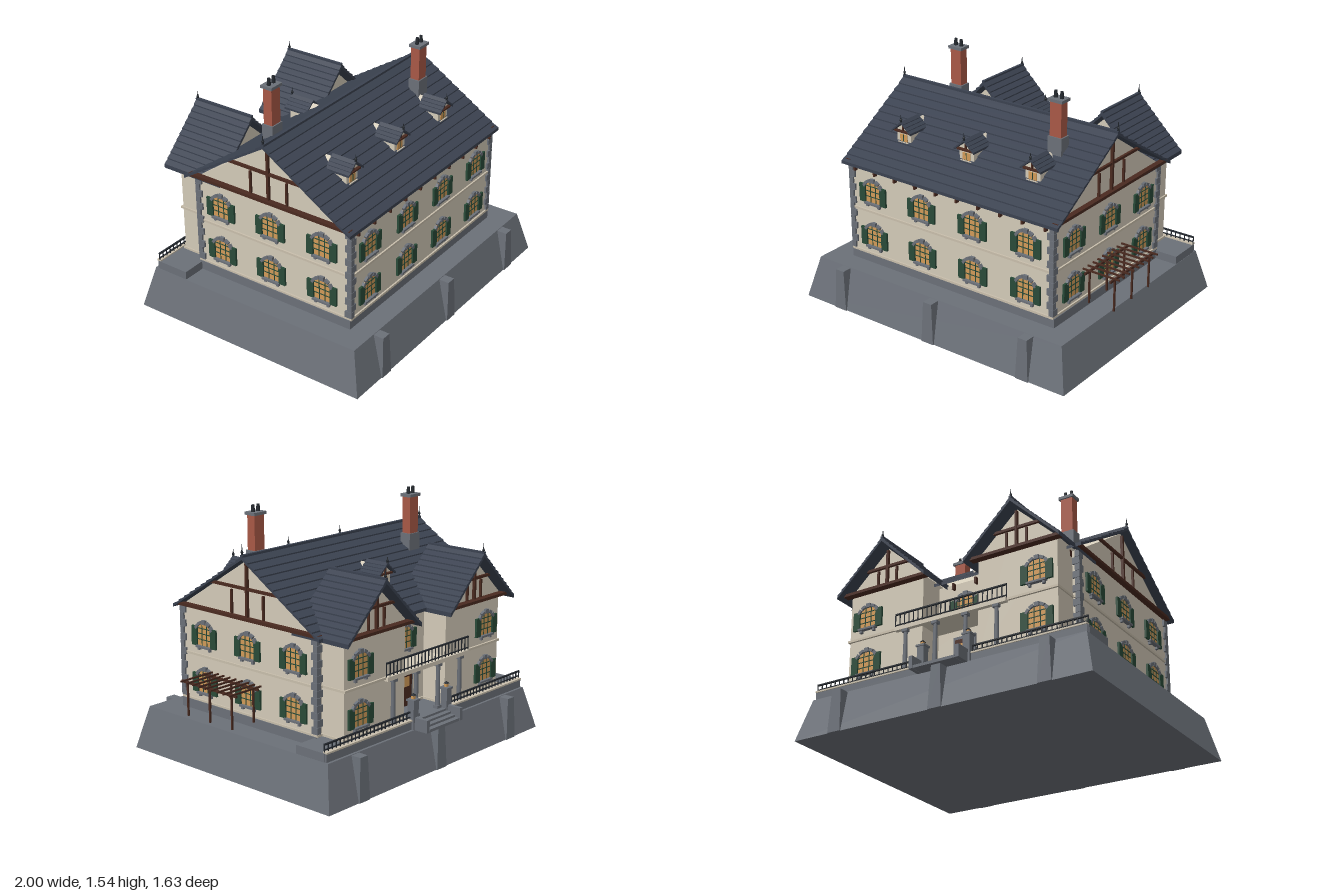
import * as THREE from 'three';

const mat = (name, color) => Object.assign(new THREE.MeshStandardMaterial({ color }), { name });
const M = {
  wall: mat('cream plaster', 0xd3cab8), trim: mat('pale trim', 0xc9bfac), stone: mat('grey stone', 0x6b7078),
  slate: mat('slate', 0x3b4250), timber: mat('dark timber', 0x4a2a20), green: mat('green shutter', 0x294a38),
  glass: mat('warm glass', 0xd19a58), brick: mat('red brick', 0xa85846), iron: mat('black iron', 0x23282e),
};

function add(parent, name, geo, material, x = 0, y = 0, z = 0) {
  const m = new THREE.Mesh(geo, material);
  m.name = name;
  m.position.set(x, y, z);
  parent.add(m);
  return m;
}
// Box standing on height y
const box = (p, name, m, w, h, d, x, y, z) => add(p, name, new THREE.BoxGeometry(w, h, d), m, x, y + h / 2, z);

function group(parent, name, x, y, z, ry = 0) {
  const g = new THREE.Group();
  g.name = name;
  g.position.set(x, y, z);
  g.rotation.y = ry;
  parent.add(g);
  return g;
}

const shape = (pts) => new THREE.Shape(pts.map(([x, y]) => new THREE.Vector2(x, y)));
const extrude = (s, depth) => new THREE.ExtrudeGeometry(s, { depth, bevelEnabled: false, curveSegments: 8 });

// Box whose upper face has another size and depth offset
function taper(w0, d0, w1, d1, h, shift = 0) {
  const g = new THREE.BoxGeometry(w0, h, d0).toNonIndexed();
  const p = g.attributes.position;
  for (let i = 0; i < p.count; i++) if (p.getY(i) > 0) {
    p.setX(i, Math.sign(p.getX(i)) * w1 / 2);
    p.setZ(i, Math.sign(p.getZ(i)) * d1 / 2 + shift);
  }
  g.computeVertexNormals();
  return g;
}

// Gabled roof shell with stepped slate courses, running along local z
function roofGeometry(half, eave, ridge, length, courses, t = 0.02, step = 0.008) {
  const right = [];
  for (let i = 0; i < courses; i++) {
    const at = (k, o) => [half * k / courses, ridge + (eave - ridge) * k / courses + o];
    right.push(at(i, i ? -step : 0), at(i + 1, 0));
  }
  const left = right.slice(1).reverse().map(([x, y]) => [-x, y]);
  return extrude(shape([...left, ...right, [half, eave - t], [0, ridge - t], [-half, eave - t]].reverse()), length);
}

// Pentagon-ended house body running along local z
const bodyGeometry = (l, r, mid, y0, eave, apex, length) =>
  extrude(shape([[l, y0], [r, y0], [r, eave], [mid, apex], [l, eave]]), length);

// Arched window with shutters, facing local +z, sill at local y = 0
function windowUnit(parent, x, y, z, ry = 0, shutters = true) {
  const g = group(parent, 'window', x, y, z, ry);
  const R = 0.0689, cy = 0.071, a = 1.056;
  const s = new THREE.Shape();
  s.moveTo(-0.06, 0); s.lineTo(0.06, 0); s.lineTo(0.06, 0.105);
  s.absarc(0, cy, R, Math.PI / 2 - a, Math.PI / 2 + a, false);
  add(g, 'windowGlass', extrude(s, 0.006), M.glass);
  for (const bx of [-0.02, 0.02]) box(g, 'windowBar', M.green, 0.005, 0.134, 0.004, bx, 0, 0.007);
  for (const by of [0.035, 0.07, 0.103]) box(g, 'windowBar', M.green, 0.116, 0.005, 0.004, 0, by, 0.007);
  for (let i = -2; i <= 2; i++) {
    const t = i * 0.48;
    const v = add(g, 'archStone', new THREE.BoxGeometry(0.03, i ? 0.018 : 0.026, 0.018), M.stone,
      Math.sin(t) * (R + 0.006), cy + Math.cos(t) * (R + 0.006), 0.008);
    v.rotation.z = -t;
  }
  box(g, 'windowSill', M.stone, 0.125, 0.012, 0.026, 0, -0.012, 0.012);
  for (const k of [-1, 1]) {
    box(g, 'sillBracket', M.stone, 0.016, 0.016, 0.016, k * 0.045, -0.028, 0.008);
    if (shutters) box(g, 'shutter', M.green, 0.046, 0.118, 0.014, k * 0.08, -0.004, 0.009);
  }
}

// Half-timbering on a gable, facing local +z
function gableTimbers(parent, half, base, apex, x, z, ry, out) {
  const g = group(parent, 'gableTimbers', x, base, z, ry);
  const r = apex - base;
  box(g, 'tieBeam', M.timber, half * 2, 0.018, out, 0, -0.01, out / 2);
  box(g, 'collarBeam', M.timber, half * 1.02, 0.016, 0.016, 0, r * 0.46, 0.008);
  box(g, 'kingPost', M.timber, 0.016, r - 0.035, 0.018, 0, 0, 0.009);
  for (const k of [-1, 1]) box(g, 'stud', M.timber, 0.012, r * 0.4, 0.014, k * half * 0.225, 0.01, 0.007);
}

function railing(parent, x0, x1, y, z, h) {
  const g = group(parent, 'railing', (x0 + x1) / 2, y, z);
  const w = x1 - x0, n = Math.round(w / 0.032);
  box(g, 'handRail', M.iron, w, 0.008, 0.012, 0, h - 0.008, 0);
  box(g, 'footRail', M.iron, w, 0.005, 0.008, 0, 0.01, 0);
  for (let i = 0; i <= n; i++) box(g, 'baluster', M.iron, 0.005, h, 0.005, -w / 2 + w * i / n, 0, 0);
}

function finial(parent, x, y, z, h = 0.07) {
  add(parent, 'finial', new THREE.ConeGeometry(0.007, h, 6), M.iron, x, y + h / 2, z);
  add(parent, 'finialBall', new THREE.SphereGeometry(0.009, 6, 4), M.iron, x, y + h * 0.3, z);
}

function chimney(parent, x, z, top) {
  const g = group(parent, 'chimney', x, 0, z);
  box(g, 'chimneyBase', M.stone, 0.095, 0.17, 0.075, 0, 1.08, 0);
  box(g, 'chimneyStack', M.brick, 0.078, top - 1.25, 0.06, 0, 1.25, 0);
  box(g, 'chimneyCap', M.stone, 0.1, 0.018, 0.08, 0, top, 0);
  for (const k of [-1, 1])
    add(g, 'chimneyPot', new THREE.CylinderGeometry(0.009, 0.013, 0.045, 8), M.iron, k * 0.021, top + 0.038, 0);
}

// Small gabled dormer facing local +z, its origin on the ridge line
function dormer(parent, x, ry) {
  const g = group(parent, 'dormer', x, 0, 0.035, ry);
  add(g, 'dormerBody', bodyGeometry(-0.053, 0.053, 0, 1.0, 1.115, 1.155, 0.18), M.wall, 0, 0, 0.2);
  add(g, 'dormerRoof', roofGeometry(0.073, 1.112, 1.175, 0.165, 4, 0.013, 0.004), M.slate, 0, 0, 0.245);
  box(g, 'dormerGlass', M.glass, 0.055, 0.045, 0.006, 0, 1.04, 0.382);
  box(g, 'dormerSill', M.trim, 0.08, 0.008, 0.016, 0, 1.03, 0.385);
  box(g, 'dormerBar', M.green, 0.005, 0.045, 0.008, 0, 1.04, 0.383);
  box(g, 'dormerBeam', M.timber, 0.12, 0.01, 0.02, 0, 1.1, 0.39);
  box(g, 'dormerPost', M.timber, 0.008, 0.05, 0.012, 0, 1.105, 0.388);
  finial(g, 0, 1.17, 0.405, 0.05);
}

export function createModel() {
  const root = new THREE.Group();
  root.name = 'house';
  const cx = -0.02, cz = 0.05, H = Math.PI / 2;

  // Battered plinth and buttresses
  add(root, 'plinth', taper(1.957, 1.604, 1.829, 1.47, 0.265), M.stone, -0.0215, 0.1325, 0.005);
  for (const x of [-0.715, -0.02, 0.67]) for (const k of [1, -1]) {
    const b = add(root, 'buttress', taper(0.088, 0.13, 0.062, 0.12, 0.262, -0.003), M.stone, x, 0.131, 0.005 + k * 0.744);
    if (k < 0) b.rotation.y = Math.PI;
  }

  // Main block
  box(root, 'foundation', M.stone, 1.53, 0.06, 1.11, cx, 0.262, cz);
  const body = add(root, 'mainWalls', bodyGeometry(-0.6, 0.5, -0.035, 0.3, 0.9, 1.255, 1.5), M.wall, cx - 0.75, 0, 0);
  body.rotation.y = H;
  box(root, 'baseBand', M.trim, 1.52, 0.014, 1.12, cx, 0.32, cz);
  box(root, 'floorBand', M.trim, 1.52, 0.014, 1.12, cx, 0.605, cz);
  const roof = add(root, 'mainRoof', roofGeometry(0.595, 0.908, 1.282, 1.6, 12), M.slate, -0.822, 0, 0.035);
  roof.rotation.y = H;
  box(root, 'ridgeCap', M.slate, 1.6, 0.014, 0.02, -0.022, 1.276, 0.035);
  finial(root, -0.815, 1.285, 0.035);
  finial(root, 0.772, 1.285, 0.035);
  for (const k of [1, -1]) {
    gableTimbers(root, 0.575, 0.912, 1.27, cx + k * 0.75, 0.035, k * H, 0.035);
    for (let i = 0; i < 10; i++)
      box(root, 'eaveBracket', M.timber, 0.012, 0.04, 0.035, -0.725 + i * 0.157, 0.862, cz + k * 0.558);
  }

  // Corner quoins
  for (const sx of [-1, 1]) for (const sz of [-1, 1]) for (let i = 0; i < 13; i++) {
    const a = i % 2 ? 0.046 : 0.03, b = i % 2 ? 0.03 : 0.046;
    box(root, 'quoin', M.stone, a, 0.041, b, cx + sx * (0.762 - a / 2), 0.336 + i * 0.0432, cz + sz * (0.562 - b / 2));
  }

  // Rear wings
  for (const x of [-0.47, 0.43]) {
    const s = Math.sign(x), w = group(root, 'rearWing', x, 0, 0, Math.PI);
    add(w, 'wingWalls', bodyGeometry(-0.26, 0.26, 0, 0.3, 0.925, 1.17, 0.265), M.wall, 0, 0, 0.4);
    box(w, 'wingBand', M.trim, 0.536, 0.014, 0.285, 0, 0.605, 0.535);
    box(w, 'wingBase', M.trim, 0.536, 0.014, 0.28, 0, 0.32, 0.535);
    add(w, 'wingRoof', roofGeometry(0.315, 0.908, 1.215, 0.425, 11, 0.026), M.slate, 0, 0, 0.32);
    box(w, 'wingRidge', M.slate, 0.018, 0.012, 0.425, 0, 1.209, 0.5325);
    finial(w, 0, 1.21, 0.735, 0.065);
    gableTimbers(w, 0.295, 0.912, 1.19, 0, 0.665, 0, 0.045);
    for (const y of [0.385, 0.675]) windowUnit(w, -s * 0.13, y, 0.665);
  }

  // Windows and dormers
  for (const y of [0.385, 0.675]) {
    for (let i = 0; i < 4; i++) windowUnit(root, -0.595 + i * 0.381, y, 0.6);
    for (const z of [0.405, 0.04, -0.325]) for (const k of [1, -1]) windowUnit(root, cx + k * 0.75, y, z, k * H);
  }
  windowUnit(root, cx, 0.675, -0.5, Math.PI);
  for (const x of [-0.5, -0.02, 0.455]) dormer(root, x, 0);
  dormer(root, -0.02, Math.PI);
  chimney(root, -0.515, -0.135, 1.478);
  chimney(root, 0.485, 0.213, 1.46);

  // Rear terrace, balcony and door
  box(root, 'terrace', M.stone, 1.825, 0.055, 0.21, -0.0215, 0.262, -0.595);
  box(root, 'balconyFloor', M.wall, 0.76, 0.025, 0.2, -0.03, 0.595, -0.592);
  railing(root, -0.41, 0.35, 0.62, -0.682, 0.085);
  for (const x of [-0.34, -0.133, 0.073, 0.28]) {
    add(root, 'column', new THREE.CylinderGeometry(0.012, 0.015, 0.25, 10), M.stone, x, 0.455, -0.674);
    box(root, 'columnFoot', M.stone, 0.04, 0.02, 0.034, x, 0.315, -0.674);
    box(root, 'columnCapital', M.stone, 0.04, 0.018, 0.034, x, 0.578, -0.674);
  }
  box(root, 'doorFrame', M.stone, 0.15, 0.23, 0.016, cx, 0.318, -0.505);
  box(root, 'door', M.timber, 0.12, 0.21, 0.016, cx, 0.318, -0.51);
  box(root, 'doorGlass', M.glass, 0.07, 0.06, 0.008, cx, 0.44, -0.516);
  for (const [a, b] of [[-0.93, -0.2], [0.155, 0.888]]) {
    box(root, 'terraceCoping', M.trim, b - a, 0.01, 0.03, (a + b) / 2, 0.315, -0.705);
    box(root, 'terraceCurb', M.stone, b - a, 0.053, 0.02, (a + b) / 2, 0.262, -0.704);
    railing(root, a, b, 0.325, -0.7, 0.047);
  }

  // Steps between gate piers with lanterns
  for (let i = 0; i < 4; i++) box(root, 'step', M.stone, 0.28, 0.056 - i * 0.013, 0.032, cx, 0.262, -0.706 - i * 0.032);
  for (const x of [-0.175, 0.135]) {
    box(root, 'stepCheek', M.stone, 0.024, 0.077, 0.095, x, 0.262, -0.772);
    box(root, 'gatePier', M.stone, 0.046, 0.172, 0.046, x, 0.262, -0.705);
    box(root, 'pierCap', M.stone, 0.058, 0.012, 0.058, x, 0.434, -0.705);
    box(root, 'lanternLight', M.glass, 0.018, 0.02, 0.018, x, 0.446, -0.705);
    const cap = add(root, 'lanternCap', new THREE.ConeGeometry(0.019, 0.016, 4), M.iron, x, 0.474, -0.705);
    cap.rotation.y = Math.PI / 4;
  }

  // Pergola
  const pergola = group(root, 'pergola', 0, 0, 0);
  for (const x of [0.787, 0.958]) {
    box(pergola, 'pergolaBeam', M.timber, 0.01, 0.014, 0.46, x, 0.515, 0.135);
    for (const z of [0.315, 0.13, -0.053]) box(pergola, 'pergolaPost', M.timber, 0.01, 0.2, 0.01, x, 0.318, z);
  }
  for (let i = 0; i < 9; i++) box(pergola, 'pergolaSlat', M.timber, 0.25, 0.01, 0.008, 0.874, 0.527, -0.077 + i * 0.0508);

  return root;
}
